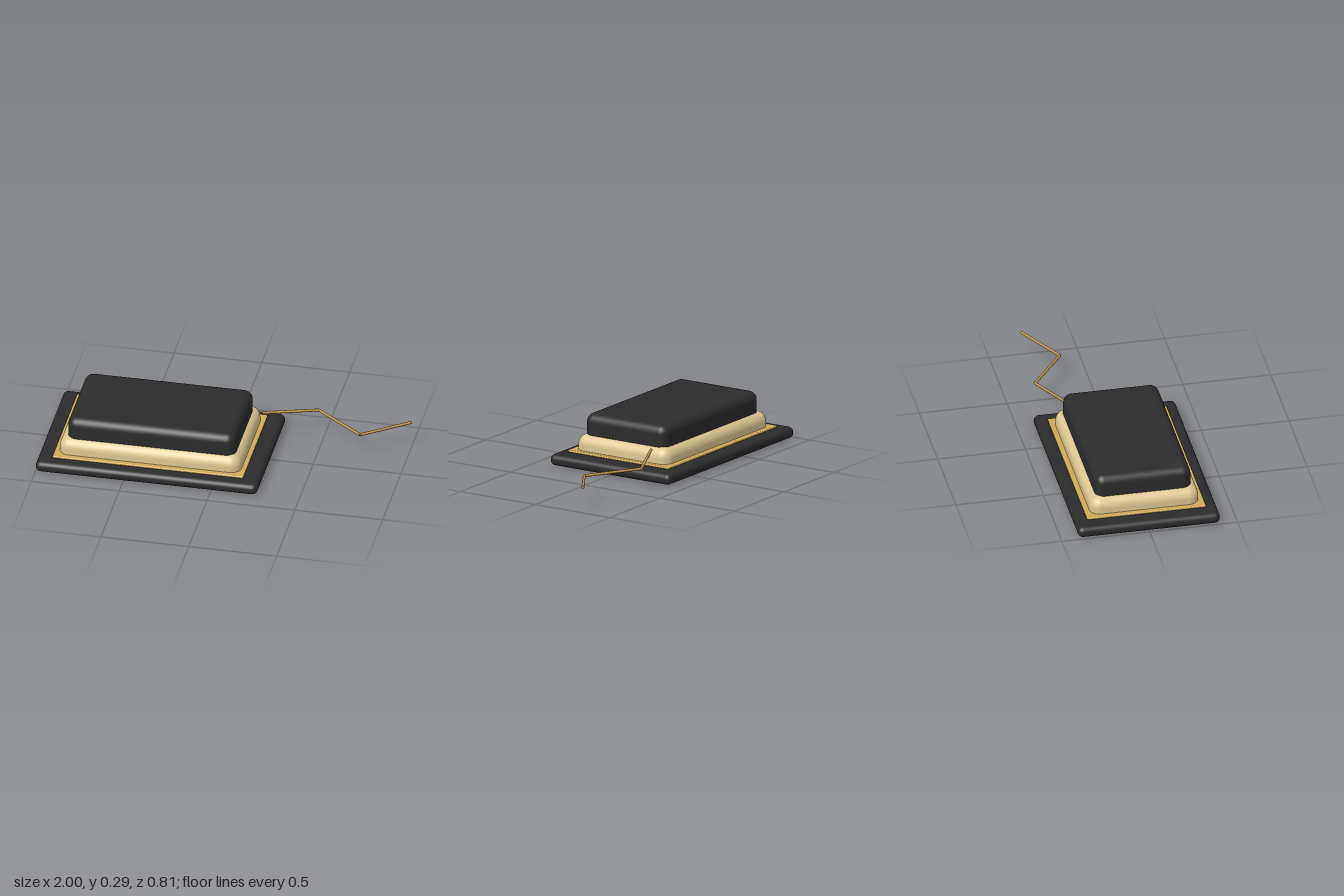
import * as THREE from 'three';
import { RoundedBoxGeometry } from 'three/addons/geometries/RoundedBoxGeometry.js';

function material(name, color) {
  const m = new THREE.MeshStandardMaterial({ color });
  m.name = name;
  return m;
}

export function createModel() {
  const model = new THREE.Group();
  model.name = 'cushionedBoxWithCord';
  const black = material('black', 0x2b2b2b);
  const cream = material('cream', 0xdfc793);
  const gold = material('gold', 0xd0aa58);
  const darkGold = material('darkGold', 0xb8924a);

  // Rounded slab given by its x range, y range and half depth
  function slab(name, mat, x0, x1, y0, y1, halfZ, radius) {
    const geo = new RoundedBoxGeometry(x1 - x0, y1 - y0, halfZ * 2, 6, radius);
    const mesh = new THREE.Mesh(geo, mat);
    mesh.name = name;
    mesh.position.set((x0 + x1) / 2, (y0 + y1) / 2, 0);
    model.add(mesh);
  }

  // Stacked layers
  slab('base', black, -1, 0.262, 0, 0.064, 0.404, 0.03);
  slab('trim', gold, -0.915, 0.172, 0.066, 0.08, 0.339, 0.006);
  slab('body', cream, -0.888, 0.146, 0.01, 0.17, 0.31, 0.06);
  slab('lid', black, -0.846, 0.109, 0.09, 0.287, 0.272, 0.05);

  // Zigzag cord: one straight rod per stretch
  const cord = new THREE.Group();
  cord.name = 'cord';
  const points = [
    [0.165, 0.163, -0.218], [0.46, 0.139, -0.35],
    [0.735, 0.13, -0.152], [0.995, 0.145, -0.317],
  ].map((p) => new THREE.Vector3(...p));
  const up = new THREE.Vector3(0, 1, 0);
  for (let i = 0; i < points.length - 1; i++) {
    const along = points[i + 1].clone().sub(points[i]);
    const rod = new THREE.Mesh(new THREE.CylinderGeometry(0.008, 0.008, along.length(), 12), darkGold);
    rod.name = 'cordSegment';
    rod.position.copy(points[i]).addScaledVector(along, 0.5);
    rod.quaternion.setFromUnitVectors(up, along.normalize());
    cord.add(rod);
  }
  model.add(cord);

  return model;
}
